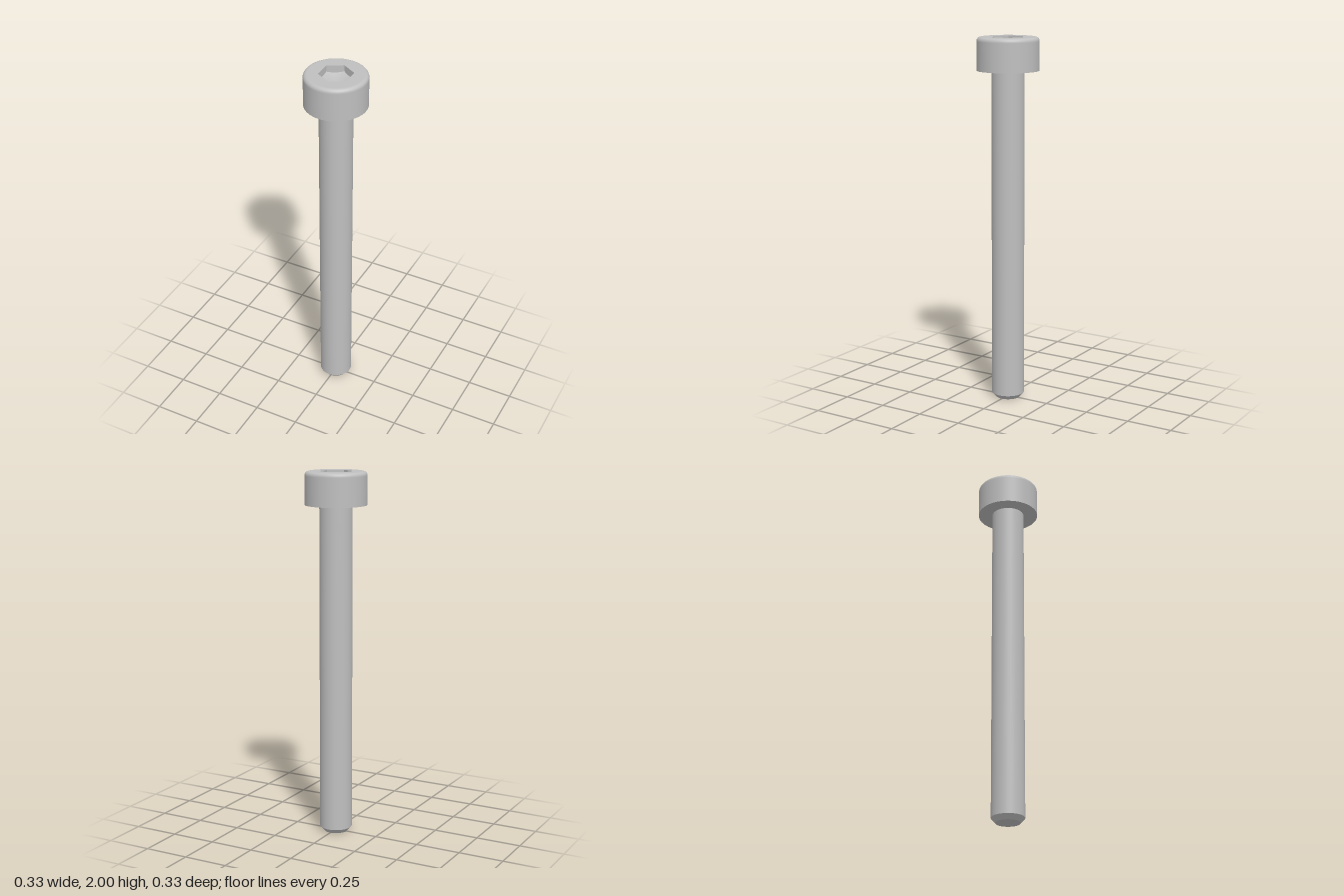
import * as THREE from 'three';

const SEGMENTS = 64;
const SHAFT_R = 0.089, TIP_R = 0.066, HEAD_R = 0.167;
const HEAD_Y = 1.822, TOP_Y = 2, FILLET = 0.021;
const HEX_R = 0.091, HEX_STEPS = 8;

// Points around the socket hexagon, with corners on the z axis
function hexOutline(steps) {
  const corner = k => new THREE.Vector2(Math.sin(k * Math.PI / 3), Math.cos(k * Math.PI / 3)).multiplyScalar(HEX_R);
  const points = [];
  for (let k = 0; k < 6; k++) {
    for (let s = 0; s < steps; s++) points.push(corner(k).lerp(corner(k + 1), s / steps));
  }
  return points;
}

// Socket walls and the conical drill floor, which meets the walls in scallops
function socketGeometries() {
  const apexY = TOP_Y - 0.08, slope = 0.5;
  const outline = hexOutline(HEX_STEPS);
  const walls = [], floor = [0, apexY, 0], floorIndex = [];
  outline.forEach((a, i) => {
    const j = (i + 1) % outline.length, b = outline[j];
    const ya = apexY + slope * a.length(), yb = apexY + slope * b.length();
    walls.push(b.x, yb, b.y, a.x, ya, a.y, a.x, TOP_Y, a.y);
    walls.push(b.x, yb, b.y, a.x, TOP_Y, a.y, b.x, TOP_Y, b.y);
    floor.push(a.x, ya, a.y);
    floorIndex.push(0, i + 1, j + 1);
  });
  return [[walls, null], [floor, floorIndex]].map(([positions, index]) => {
    const g = new THREE.BufferGeometry();
    g.setAttribute('position', new THREE.Float32BufferAttribute(positions, 3));
    if (index) g.setIndex(index);
    g.computeVertexNormals();
    return g;
  });
}

export function createModel() {
  const group = new THREE.Group();
  const steel = new THREE.MeshStandardMaterial({ color: 0xbfbfbf });
  steel.name = 'steel';

  const add = (name, geometry) => {
    const mesh = new THREE.Mesh(geometry, steel);
    mesh.name = name;
    group.add(mesh);
  };
  // Each turned surface is separate so the edges between them stay sharp
  const turn = (name, ...points) =>
    add(name, new THREE.LatheGeometry(points.map(p => new THREE.Vector2(...p)), SEGMENTS));

  // Shaft with chamfered tip
  turn('tipEnd', [0, 0], [TIP_R, 0]);
  turn('tipChamfer', [TIP_R, 0], [SHAFT_R, 0.026]);
  turn('shaft', [SHAFT_R, 0.026], [SHAFT_R, HEAD_Y]);

  // Head with rounded upper rim
  turn('headUnderside', [SHAFT_R, HEAD_Y], [HEAD_R, HEAD_Y]);
  const rim = [];
  for (let i = 0; i <= 8; i++) {
    const a = i / 8 * Math.PI / 2;
    rim.push([HEAD_R - FILLET + FILLET * Math.cos(a), TOP_Y - FILLET + FILLET * Math.sin(a)]);
  }
  turn('headSide', [HEAD_R, HEAD_Y], [HEAD_R, TOP_Y - FILLET - 0.002], ...rim, [HEAD_R - FILLET - 0.002, TOP_Y]);

  // Flat head top with hexagonal opening
  const top = new THREE.Shape().absarc(0, 0, HEAD_R - FILLET - 0.002, 0, Math.PI * 2);
  top.holes.push(new THREE.Path(hexOutline(1)));
  add('headTop', new THREE.ShapeGeometry(top, SEGMENTS).rotateX(-Math.PI / 2).translate(0, TOP_Y, 0));

  // Hex socket
  const [walls, floor] = socketGeometries();
  add('socketWalls', walls);
  add('socketFloor', floor);

  return group;
}
